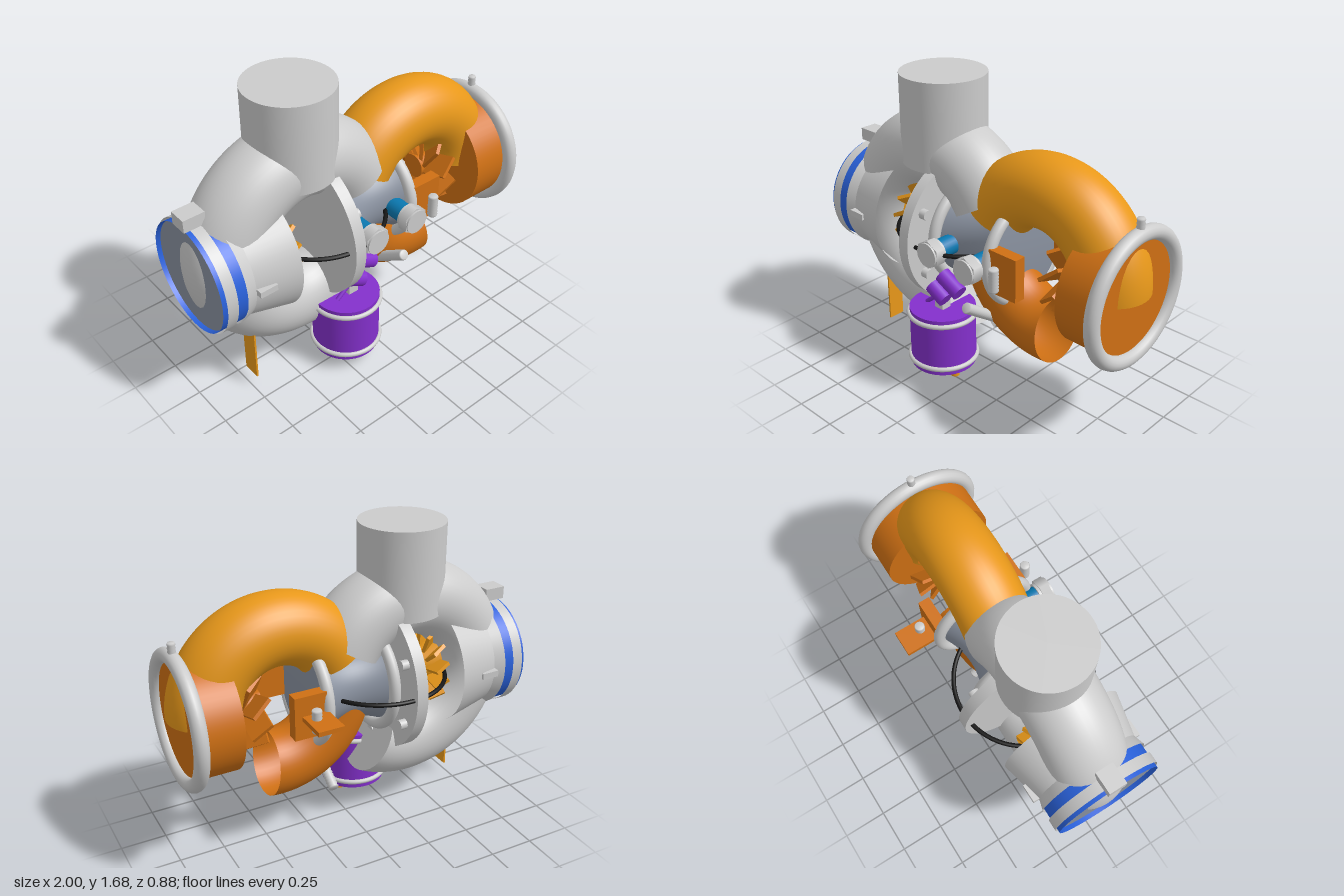
import * as THREE from 'three';

const CY = 0.83, CZ = 0.02; // main shaft axis, running along x
const PI = Math.PI, rad = THREE.MathUtils.degToRad;
const mat = (color) => new THREE.MeshStandardMaterial({ color, side: THREE.DoubleSide });

export function createModel() {
  const root = new THREE.Group();
  const grey = mat(0xcccccc), dark = mat(0x8a92a0), amber = mat(0xe8981a), rust = mat(0xcf7014);
  const blue = mat(0x2a62dc), teal = mat(0x0a78b0), purple = mat(0x8430cc), black = mat(0x141414);

  const add = (name, geo, material, x = 0, y = 0, z = 0, parent = root) => {
    const m = new THREE.Mesh(geo, material);
    m.name = name;
    m.position.set(x, y, z);
    parent.add(m);
    return m;
  };
  const box = (name, m, w, h, d, x, y, z, parent) => add(name, new THREE.BoxGeometry(w, h, d), m, x, y, z, parent);
  // cylinder or cone along the shaft, from x0 to x1
  const drum = (name, m, r0, r1, x0, x1, open = false) => {
    const c = add(name, new THREE.CylinderGeometry(r1, r0, x1 - x0, 64, 1, open), m, (x0 + x1) / 2, CY, CZ);
    c.rotation.z = -PI / 2;
    return c;
  };
  // ring around the shaft
  const ring = (name, m, R, r, x) => {
    add(name, new THREE.TorusGeometry(R, r, 16, 72), m, x, CY, CZ).rotation.y = PI / 2;
  };
  // cylinder between two points
  const rod = (name, m, r, a, b, sides = 24) => {
    const p = new THREE.Vector3(...a), d = new THREE.Vector3(...b).sub(p);
    const c = add(name, new THREE.CylinderGeometry(r, r, d.length(), sides), m);
    c.position.copy(p).addScaledVector(d, 0.5);
    c.quaternion.setFromUnitVectors(new THREE.Vector3(0, 1, 0), d.normalize());
    return c;
  };
  // threaded stud between two points
  const stud = (name, r, a, b) => {
    const s = rod(name, grey, r, a, b), h = s.geometry.parameters.height;
    const n = Math.round(h / 0.018), pts = [new THREE.Vector2(0, -h / 2)];
    for (let i = 0; i <= 2 * n; i++) pts.push(new THREE.Vector2(i % 2 ? r : r * 0.84, h * (i / (2 * n) - 0.5)));
    pts.push(new THREE.Vector2(0, h / 2));
    s.geometry = new THREE.LatheGeometry(pts, 20);
  };
  // bent pipe in the xy plane
  const bend = (name, m, x, R, r, from, to, capped) => {
    const g = new THREE.Group();
    g.name = name;
    g.position.set(x, CY, CZ);
    root.add(g);
    add(name + 'Wall', new THREE.TorusGeometry(R, r, 40, 96, rad(to - from)), m, 0, 0, 0, g).rotation.z = rad(from);
    if (capped) for (const a of [from, to]) {
      const end = new THREE.Group();
      end.rotation.z = rad(a);
      g.add(end);
      add(name + 'End', new THREE.CircleGeometry(r, 40), m, R, 0, 0, end).rotation.x = PI / 2;
    }
  };

  // compressor scroll and outlet pipe
  bend('scroll', grey, -0.355, 0.425, 0.212, 30, 298, true);
  add('outletPipe', new THREE.CylinderGeometry(0.235, 0.235, 0.49, 64), grey, -0.345, 1.435, CZ);

  // turbine pipes
  bend('upperPipe', amber, 0.41, 0.39, 0.195, 0, 150, true);
  bend('lowerPipe', rust, 0.425, 0.385, 0.182, 180, 277, false);

  // inlet on the right side of the model
  drum('inletSleeve', blue, 0.3, 0.3, -0.985, -0.84, true);
  drum('inletFace', dark, 0.296, 0.296, -0.96, -0.94);
  drum('inletBand', grey, 0.312, 0.312, -0.965, -0.905, true);
  drum('inletCollar', grey, 0.312, 0.295, -0.85, -0.79, true);
  drum('inletCone', grey, 0.295, 0.35, -0.79, -0.55, true);
  box('inletTab', grey, 0.12, 0.07, 0.1, -0.94, 1.175, 0.015);
  for (const s of [-1, 1]) box('inletLug', grey, 0.1, 0.035, 0.06, -0.74, CY, CZ + s * 0.3);

  // bladed wheel: a hub with tilted blades around the shaft
  const wheel = (name, m, x, hub, reach, width, count, tilt) => {
    drum(name + 'Hub', m, hub, hub * 0.7, x - width / 2, x + width / 2);
    for (let i = 0; i < count; i++) {
      const g = new THREE.Group();
      g.position.set(x, CY, CZ);
      g.rotation.x = (i / count) * 2 * PI;
      root.add(g);
      box(name + 'Blade', m, width, reach - hub + 0.03, 0.02, 0, (reach + hub) / 2 - 0.02, 0, g).rotation.y = tilt;
    }
  };
  wheel('compressorWheel', amber, -0.5, 0.15, 0.23, 0.09, 14, 0.5);
  wheel('turbineWheel', rust, 0.57, 0.07, 0.23, 0.13, 10, 0.7);

  // backplate and its studs
  drum('backplate', grey, 0.42, 0.42, -0.275, -0.21);
  for (let i = 0; i < 6; i++) {
    const a = rad(30 + i * 60), y = CY + 0.35 * Math.sin(a), z = CZ + 0.35 * Math.cos(a);
    rod('backplateStud', grey, 0.028, [-0.22, y, z], [-0.17, y, z]);
  }

  // waisted bearing housing with clamp rings
  const waist = [];
  for (let i = 0; i <= 16; i++) {
    const t = i / 8 - 1;
    waist.push(new THREE.Vector2(0.2 + 0.06 * t * t, 0.225 * t));
  }
  waist.unshift(new THREE.Vector2(0, -0.225));
  waist.push(new THREE.Vector2(0, 0.225));
  add('bearingHousing', new THREE.LatheGeometry(waist, 64), dark, 0.03, CY, CZ).rotation.z = -PI / 2;
  for (const x of [-0.16, 0.23]) ring('clampRing', grey, 0.275, 0.032, x);

  // cable looping through the housing
  add('cable', new THREE.TorusGeometry(0.375, 0.012, 10, 96), black, -0.2, CY, 0.01).rotation.x = PI / 2;

  // front fluid fittings with hex caps
  for (const x of [-0.1, 0.165]) {
    rod('fitting', teal, 0.055, [x, CY, 0.18], [x, CY, 0.36]);
    rod('fittingCap', grey, 0.08, [x, CY, 0.345], [x, CY, 0.4], 6);
    rod('fittingWasher', grey, 0.068, [x, CY, 0.33], [x, CY, 0.41]);
  }
  rod('drainFitting', teal, 0.05, [-0.02, 0.47, 0.05], [-0.02, 0.65, 0.05]);

  // actuator canister
  const AX = -0.172, AZ = 0.235;
  add('canister', new THREE.CylinderGeometry(0.184, 0.184, 0.35, 64), purple, AX, 0.255, AZ);
  for (const y of [0.12, 0.395])
    add('canisterBand', new THREE.TorusGeometry(0.187, 0.014, 12, 72), grey, AX, y, AZ).rotation.x = PI / 2;
  for (const x of [-0.255, -0.085]) rod('canisterPeg', amber, 0.025, [x, 0, AZ], [x, 0.09, AZ]);
  rod('actuatorRod', purple, 0.012, [-0.26, 0.43, 0.27], [-0.15, 0.52, 0.27]);
  box('rodBlock', grey, 0.06, 0.08, 0.06, -0.155, 0.46, 0.25);
  rod('lowerPort', purple, 0.045, [-0.2, 0.56, 0.28], [-0.1, 0.505, 0.28]);
  rod('upperPort', purple, 0.045, [-0.14, 0.64, 0.26], [-0.01, 0.575, 0.26]);

  // slanted threaded rod with nut under the housing
  stud('slantedStud', 0.03, [0.135, 0.59, 0.36], [0.135, 0.255, -0.12]);
  rod('slantedNut', grey, 0.05, [0.11, 0.4, 0.1], [0.11, 0.37, 0.055], 6);

  // support brackets with bolts
  for (const s of [-1, 1]) {
    box('bracket', rust, 0.18, 0.24, 0.065, 0.335, CY, CZ + s * 0.25);
    stud('bracketBolt', 0.028, [0.33, 0.765, CZ + s * 0.338], [0.33, 0.895, CZ + s * 0.338]);
  }
  box('bracketShelf', rust, 0.145, 0.025, 0.18, 0.312, CY, -0.355);

  // turbine outlet
  drum('outletDrum', rust, 0.316, 0.316, 0.7, 0.935);
  ring('outletRing', grey, 0.335, 0.04, 0.935);
  stud('outletBolt', 0.022, [0.935, 1.16, CZ], [0.935, 1.255, CZ]);

  // hanging strip
  box('hangingStrip', amber, 0.01, 0.36, 0.1, -0.725, 0.25, 0.11);

  return root;
}
